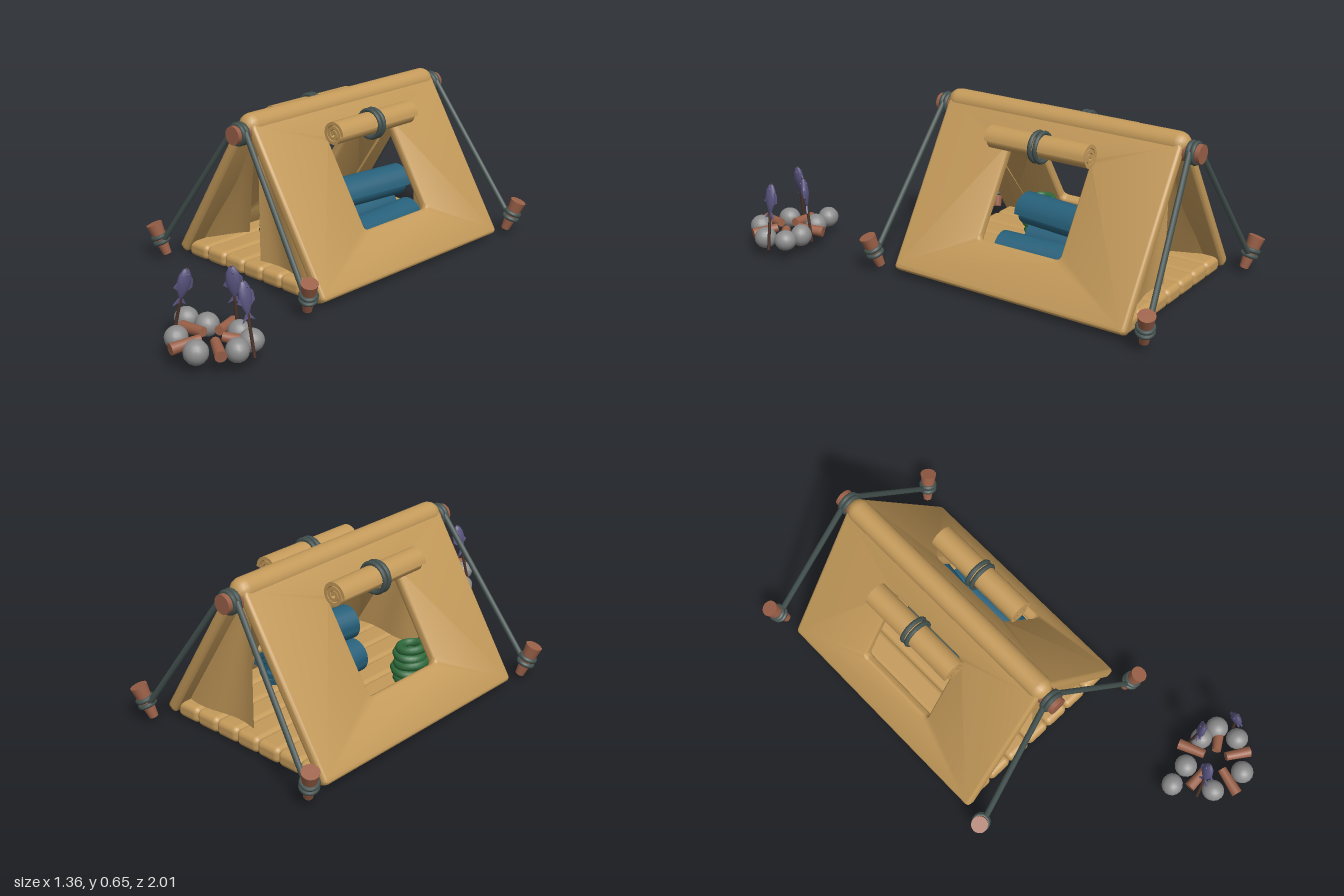
import * as THREE from 'three';
import { toCreasedNormals } from 'three/addons/utils/BufferGeometryUtils.js';
import { RoundedBoxGeometry } from 'three/addons/geometries/RoundedBoxGeometry.js';
import { ParametricGeometry } from 'three/addons/geometries/ParametricGeometry.js';

const mat = (color, side = THREE.FrontSide) => new THREE.MeshStandardMaterial({ color, side });
const V = (x, y, z) => new THREE.Vector3(x, y, z);
const CANVAS = mat(0xc49a5a), CLOTH = mat(0xc49a5a, THREE.DoubleSide), WOOD = mat(0x9a6048);
const ROPE = mat(0x44524f), BLUE = mat(0x27607a), GREEN = mat(0x2f6b3c);
const STONE = mat(0x8c8c8c), FISH = mat(0x5a5580), STICK = mat(0x4c342c);

function add(parent, name, geometry, material, x = 0, y = 0, z = 0) {
  const mesh = new THREE.Mesh(geometry, material);
  mesh.name = name;
  mesh.position.set(x, y, z);
  parent.add(mesh);
  return mesh;
}

// Cylinder running between two points
function rod(parent, name, a, b, rA, rB, material, sides = 14) {
  const dir = b.clone().sub(a);
  const mesh = add(parent, name, new THREE.CylinderGeometry(rB, rA, dir.length(), sides), material);
  mesh.position.copy(a).add(b).multiplyScalar(0.5);
  mesh.quaternion.setFromUnitVectors(V(0, 1, 0), dir.normalize());
  return mesh;
}

// Pair of rope loops around an axis
function lashing(parent, name, at, axis, radius, tube, gap) {
  for (const s of [-1, 1]) {
    const loop = add(parent, name, new THREE.TorusGeometry(radius, tube, 8, 24), ROPE);
    loop.position.copy(at).addScaledVector(axis, s * gap);
    loop.quaternion.setFromUnitVectors(V(0, 0, 1), axis);
  }
}

// Fabric wound in a spiral, its length centred on z
function spiralRoll(radius, length) {
  const outer = [], inner = [], n = 60, turns = 2.6;
  for (let i = 0; i <= n; i++) {
    const t = i / n, a = t * turns * Math.PI * 2, r = radius * (1 - 0.8 * t);
    outer.push(new THREE.Vector2(Math.cos(a) * r, Math.sin(a) * r));
    const r2 = r - radius * 0.25;
    inner.unshift(new THREE.Vector2(Math.cos(a) * Math.max(r2, 0.02 * radius), Math.sin(a) * Math.max(r2, 0.02 * radius)));
  }
  const g = new THREE.ExtrudeGeometry(new THREE.Shape([...outer, ...inner]), { depth: length, bevelEnabled: false });
  g.translate(0, 0, -length / 2);
  return toCreasedNormals(g, 0.7);
}

function roundedRect(path, x0, y0, x1, y1, r) {
  path.moveTo(x0 + r, y0);
  path.lineTo(x1 - r, y0); path.quadraticCurveTo(x1, y0, x1, y0 + r);
  path.lineTo(x1, y1 - r); path.quadraticCurveTo(x1, y1, x1 - r, y1);
  path.lineTo(x0 + r, y1); path.quadraticCurveTo(x0, y1, x0, y1 - r);
  path.lineTo(x0, y0 + r); path.quadraticCurveTo(x0, y0, x0 + r, y0);
  return path;
}

// Sloping wall with a window and its rolled-up cover
function tentSide() {
  const side = new THREE.Group();
  const up = V(-0.38, 0.61, 0).normalize(), out = V(up.y, -up.x, 0);
  const shape = roundedRect(new THREE.Shape(), -0.5, 0, 0.5, 0.69, 0.02);
  shape.holes.push(roundedRect(new THREE.Path(), -0.175, 0.19, 0.175, 0.55, 0.02));
  const g = new THREE.ExtrudeGeometry(shape, {
    depth: 0.016, bevelThickness: 0.013, bevelSize: 0.013, bevelOffset: -0.013, bevelSegments: 4, curveSegments: 6,
  });
  g.applyMatrix4(new THREE.Matrix4().makeBasis(V(0, 0, -1), up, out)
    .setPosition(V(0.4, 0.035, 0).addScaledVector(out, -0.03)));
  add(side, 'tentWall', toCreasedNormals(g, 0.7), CANVAS);
  add(side, 'windowCover', spiralRoll(0.052, 0.42), CANVAS, 0.16, 0.543, 0);
  lashing(side, 'windowCoverStrap', V(0.16, 0.543, 0), V(0, 0, 1), 0.053, 0.009, 0.011);
  return side;
}

// Hanging door cloth: apex fanned out to a bottom edge, with soft folds
function doorFlap(outerCorner, freeCorner, bulge) {
  const apex = V(0, 0.6, outerCorner.z);
  return new ParametricGeometry((u, v, p) => {
    p.lerpVectors(outerCorner, freeCorner, u);
    p.lerpVectors(apex, p, v);
    p.z += Math.sin(u * Math.PI * 2) * 0.012 * v * Math.sign(apex.z);
    p.x += Math.sin(u * Math.PI) * Math.sin(v * Math.PI) * bulge;
  }, 16, 12);
}

function createTent() {
  const tent = new THREE.Group();
  tent.name = 'tent';
  for (const turn of [0, Math.PI]) {
    const side = tentSide();
    side.name = turn ? 'rightSide' : 'leftSide';
    side.rotation.y = turn;
    tent.add(side);
  }
  // Rounded ridge
  const ridge = add(tent, 'ridgeCap', new THREE.CapsuleGeometry(0.045, 0.94, 6, 20), CANVAS, 0, 0.602, 0);
  ridge.rotation.x = Math.PI / 2;

  // Padded floor strips
  for (let i = -3; i <= 3; i++)
    add(tent, 'floorPad', new RoundedBoxGeometry(0.106, 0.062, 0.97, 4, 0.022), CANVAS, i * 0.102, 0.032, 0);

  for (const e of [-1, 1]) {
    // Door flaps, one hanging and one pulled back
    add(tent, 'closedFlap', doorFlap(V(0.35, 0.065, e * 0.44), V(0.005, 0.065, e * 0.44), 0), CLOTH);
    add(tent, 'openFlap', doorFlap(V(-0.35, 0.065, e * 0.45), V(-0.25, 0.065, e * 0.26), -0.015), CLOTH);
    // Pole end with guy ropes and pegs
    rod(tent, 'ridgePoleEnd', V(0, 0.58, e * 0.44), V(0, 0.58, e * 0.565), 0.035, 0.035, WOOD, 20);
    lashing(tent, 'poleLashing', V(0, 0.58, e * 0.53), V(0, 0, 1), 0.036, 0.009, 0.009);
    for (const s of [-1, 1]) {
      const foot = V(s * 0.385, 0.025, e * 0.572), head = V(s * 0.425, 0.145, e * 0.6);
      const axis = head.clone().sub(foot).normalize(), mid = foot.clone().lerp(head, 0.5);
      rod(tent, 'peg', foot, head, 0.017, 0.032, WOOD, 16);
      lashing(tent, 'pegLashing', mid, axis, 0.027, 0.009, 0.011);
      rod(tent, 'guyRope', V(s * 0.034, 0.59, e * 0.53), mid.clone().add(V(-s * 0.02, 0, 0)), 0.011, 0.011, ROPE, 8);
    }
  }

  // Bedding rolls and a green bundle
  for (const [x, y, z, yaw] of [[0.19, 0.135, -0.03, 0.05], [0.03, 0.135, -0.06, 0], [0.09, 0.255, -0.05, -0.12]]) {
    const roll = add(tent, 'beddingRoll', spiralRoll(0.074, 0.33), BLUE, x, y, z);
    roll.rotation.y = yaw;
  }
  for (let i = 0; i < 5; i++) {
    const coil = add(tent, 'greenBundle', new THREE.TorusGeometry(0.055 - Math.abs(i - 1) * 0.004, 0.017, 8, 24), GREEN,
      -0.16 + (i % 2) * 0.008, 0.08 + i * 0.03, 0.2);
    coil.rotation.set(Math.PI / 2, (i % 2 - 0.5) * 0.2, 0);
  }
  return tent;
}

// Fish on a stick, mouth upward
function createFish() {
  const fish = new THREE.Group();
  fish.name = 'fishOnStick';
  rod(fish, 'stick', V(0, -0.2, 0), V(0, 0.06, 0), 0.006, 0.005, STICK, 8);
  const profile = [[0, -0.055], [0.008, -0.05], [0.018, -0.025], [0.026, 0.005], [0.022, 0.035], [0.011, 0.056], [0, 0.062]];
  const body = add(fish, 'fishBody', new THREE.LatheGeometry(profile.map(p => new THREE.Vector2(...p)), 20), FISH);
  body.scale.z = 0.6;
  const fin = (name, pts) => {
    const g = new THREE.ExtrudeGeometry(new THREE.Shape(pts.map(p => new THREE.Vector2(...p))), { depth: 0.006, bevelEnabled: false });
    add(fish, name, g, FISH, 0, 0, -0.003);
  };
  fin('tailFin', [[0, -0.04], [-0.024, -0.076], [0, -0.064], [0.024, -0.076]]);
  fin('backFin', [[0.018, -0.025], [0.034, -0.012], [0.032, 0.018], [0.018, 0.035]]);
  fin('bellyFin', [[-0.02, 0.015], [-0.034, -0.01], [-0.018, -0.02]]);
  for (const s of [-1, 1]) add(fish, 'eye', new THREE.SphereGeometry(0.005, 8, 6), FISH, 0.004, 0.04, s * 0.01);
  return fish;
}

function createCampfire() {
  const fire = new THREE.Group();
  fire.name = 'campfire';
  // Stone ring
  [[-0.247, 0.712], [-0.16, 0.74], [-0.035, 0.765], [0.025, 0.81], [0.008, 0.895], [-0.113, 0.95], [-0.218, 0.865]].forEach(([x, z], i) => {
    const stone = add(fire, 'stone', new THREE.SphereGeometry(0.043, 16, 12), STONE, x, 0.076, z);
    stone.scale.set(1, 0.92 + (i % 3) * 0.04, 0.94 + (i % 2) * 0.06);
    stone.rotation.y = i * 1.3;
  });
  // Radial logs
  const centre = V(-0.1, 0.09, 0.838);
  for (const [x, z] of [[-0.085, 0.69], [-0.235, 0.778], [0.01, 0.822], [-0.2, 0.955], [-0.025, 0.955]]) {
    const end = V(x, 0.075, z);
    rod(fire, 'log', centre.clone().lerp(end, 0.3), end, 0.017, 0.021, WOOD, 12);
  }
  // Fish leaning in over the fire
  for (const [x, z, yaw, tiltX, tiltZ] of [[-0.208, 0.815, 0.9, 0, -0.22], [-0.06, 0.748, 0.2, 0.1, 0.03], [0.025, 0.86, 1.0, -0.05, 0.16]]) {
    const holder = new THREE.Group();
    holder.name = 'fishSkewer';
    const fish = createFish();
    fish.rotation.y = yaw;
    holder.add(fish);
    holder.position.set(x, 0.243, z);
    holder.rotation.set(tiltX, 0, tiltZ);
    fire.add(holder);
  }
  return fire;
}

export function createModel() {
  const model = new THREE.Group();
  model.name = 'campsite';
  const tent = createTent();
  tent.position.set(0, 0, -0.265);
  tent.rotation.y = -0.467;
  model.add(tent, createCampfire());
  return model;
}
